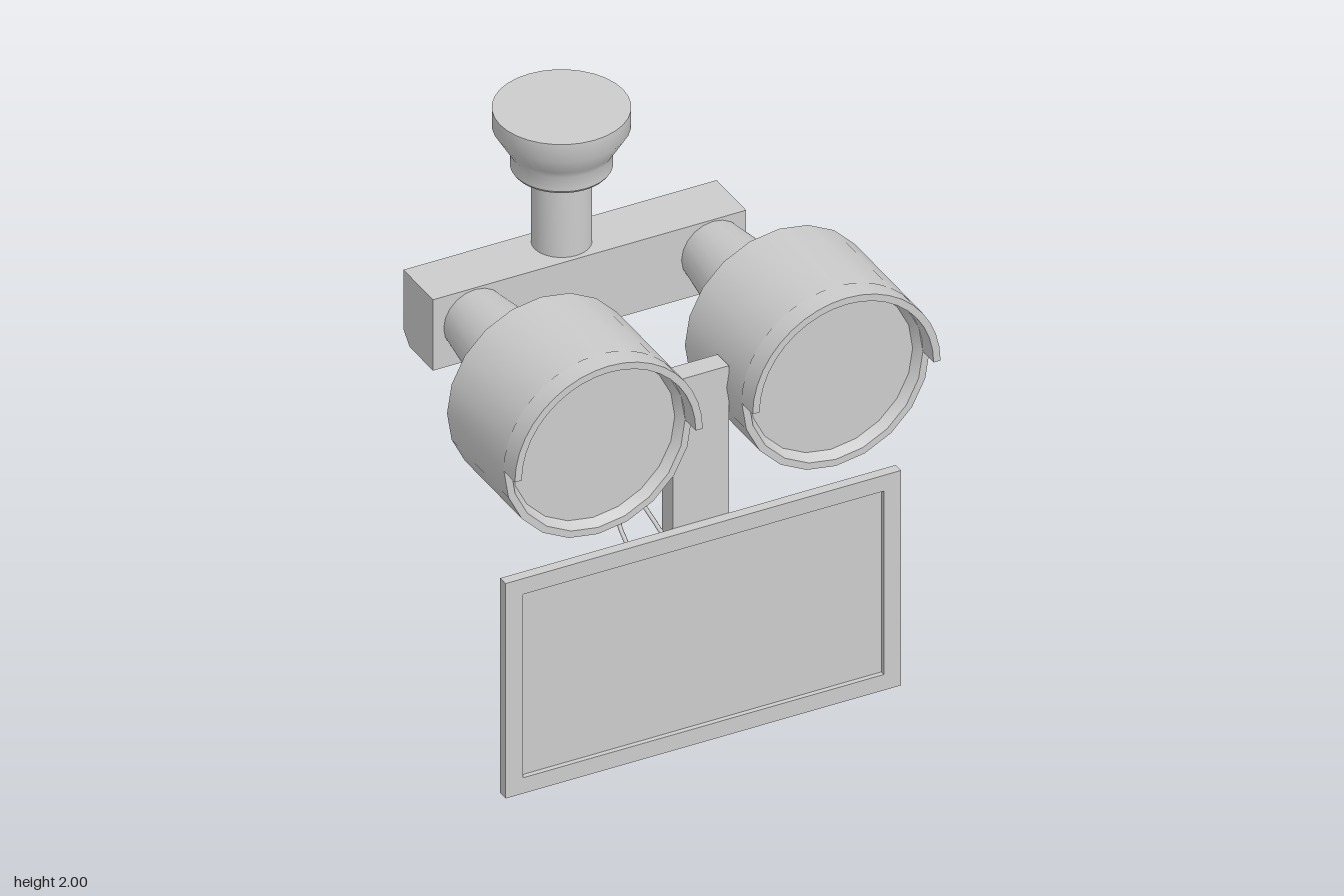
import * as THREE from 'three';
import { toCreasedNormals } from 'three/addons/utils/BufferGeometryUtils.js';

const mat = new THREE.MeshStandardMaterial({ color: 0xcccccc });

function add(parent, name, geo, x = 0, y = 0, z = 0) {
  const mesh = new THREE.Mesh(geo, mat);
  mesh.name = name;
  mesh.position.set(x, y, z);
  parent.add(mesh);
  return mesh;
}

// Turned part from [radius, height] pairs; creases stay sharp
function turned(profile, segments) {
  const pts = profile.map(([r, h]) => new THREE.Vector2(r, h));
  return toCreasedNormals(new THREE.LatheGeometry(pts, segments), 0.6);
}

// Box given by its limits
function boxBetween(parent, name, [x0, x1], [y0, y1], [z0, z1]) {
  return add(parent, name, new THREE.BoxGeometry(x1 - x0, y1 - y0, z1 - z0),
    (x0 + x1) / 2, (y0 + y1) / 2, (z0 + z1) / 2);
}

function rectPath(path, w, h) {
  path.moveTo(-w / 2, -h / 2);
  path.lineTo(w / 2, -h / 2);
  path.lineTo(w / 2, h / 2);
  path.lineTo(-w / 2, h / 2);
  path.closePath();
  return path;
}

// One lamp: drum with recessed lens, half-round visor and tapered arm, facing +z
function createLamp(name) {
  const lamp = new THREE.Group();
  lamp.name = name;
  const drum = turned([[0, -0.013], [0.27, -0.013], [0.354, 0.055], [0.354, 0.46],
    [0.328, 0.46], [0.308, 0.425], [0, 0.425]], 20);
  add(lamp, 'lampDrum', drum.rotateX(Math.PI / 2));

  const arch = new THREE.Shape();
  arch.absarc(0, 0, 0.354, 0, Math.PI, false);
  arch.absarc(0, 0, 0.328, Math.PI, 0, true);
  arch.closePath();
  const visor = new THREE.ExtrudeGeometry(arch, { depth: 0.08, bevelEnabled: false, curveSegments: 10 });
  add(lamp, 'visor', toCreasedNormals(visor, 0.6), 0, 0, 0.457);

  const arm = new THREE.CylinderGeometry(0.172, 0.117, 0.42, 20);
  add(lamp, 'lampArm', arm.rotateX(Math.PI / 2), 0, 0, -0.213);
  return lamp;
}

// Sign box: raised frame, recessed board and tapered back
function createSign() {
  const sign = new THREE.Group();
  sign.name = 'sign';
  const w = 1.49, h = 0.85;
  const frame = rectPath(new THREE.Shape(), w, h);
  frame.holes.push(rectPath(new THREE.Path(), w - 0.13, h - 0.125));
  add(sign, 'signFrame', new THREE.ExtrudeGeometry(frame, { depth: 0.018, bevelEnabled: false }), 0, 0, 0.374);
  add(sign, 'signBoard', new THREE.BoxGeometry(w, h, 0.02), 0, 0, 0.364);

  const back = new THREE.BoxGeometry(w, h, 0.054);
  const p = back.attributes.position;
  for (let i = 0; i < p.count; i++) {
    if (p.getZ(i) < 0) {
      p.setX(i, p.getX(i) - Math.sign(p.getX(i)) * 0.1);
      p.setY(i, p.getY(i) - Math.sign(p.getY(i)) * 0.08);
    }
  }
  const flat = back.toNonIndexed();
  flat.computeVertexNormals();
  add(sign, 'signBack', flat, 0, 0, 0.327);
  return sign;
}

export function createModel() {
  const model = new THREE.Group();
  model.name = 'hangingSignalLamps';

  // Everything except the cables is turned slightly about the vertical
  const body = new THREE.Group();
  body.name = 'body';
  body.rotation.y = THREE.MathUtils.degToRad(13);
  model.add(body);

  // Lamps
  for (const [name, x] of [['rightLamp', -0.519], ['leftLamp', 0.377]]) {
    const lamp = createLamp(name);
    lamp.position.set(x, 1.345, 0);
    body.add(lamp);
  }

  // Crossbar, its lower rear edge chamfered; section drawn in (z, y)
  const section = new THREE.Shape([[-0.413, 1.19], [-0.413, 1.47], [-0.623, 1.47],
    [-0.623, 1.235], [-0.578, 1.19]].map(([z, y]) => new THREE.Vector2(-z, y)));
  const bar = new THREE.ExtrudeGeometry(section, { depth: 1.18, bevelEnabled: false });
  add(body, 'crossbar', bar.rotateY(Math.PI / 2), -0.678, 0, 0);

  // Ceiling mount and stem
  add(body, 'ceilingMount', turned([[0.102, 1.44], [0.102, 1.735], [0.165, 1.765], [0.172, 1.775],
    [0.172, 1.83], [0.19, 1.86], [0.2325, 1.93], [0.2325, 2], [0, 2]], 32), -0.13, 0, -0.533);

  // Post and sign
  boxBetween(body, 'signPost', [-0.179, 0.031], [0.8, 1.43], [0.272, 0.352]);
  const sign = createSign();
  sign.position.set(-0.086, 0.425, 0);
  body.add(sign);

  // Cables from the crossbar to the back of the sign
  const cables = {
    rightCable: [[-0.275, 1.21, -0.42], [-0.21, 1.03, -0.1], [-0.19, 0.85, 0.06], [-0.2, 0.69, 0.08], [-0.15, 0.52, 0.33]],
    leftCable: [[-0.19, 1.21, -0.4], [-0.145, 1.02, -0.1], [-0.14, 0.79, -0.01], [-0.03, 0.63, 0.32]],
  };
  for (const [name, pts] of Object.entries(cables)) {
    const path = new THREE.CatmullRomCurve3(pts.map((p) => new THREE.Vector3(...p)), false, 'catmullrom', 0);
    add(model, name, new THREE.TubeGeometry(path, 40, 0.008, 6));
  }
  return model;
}
